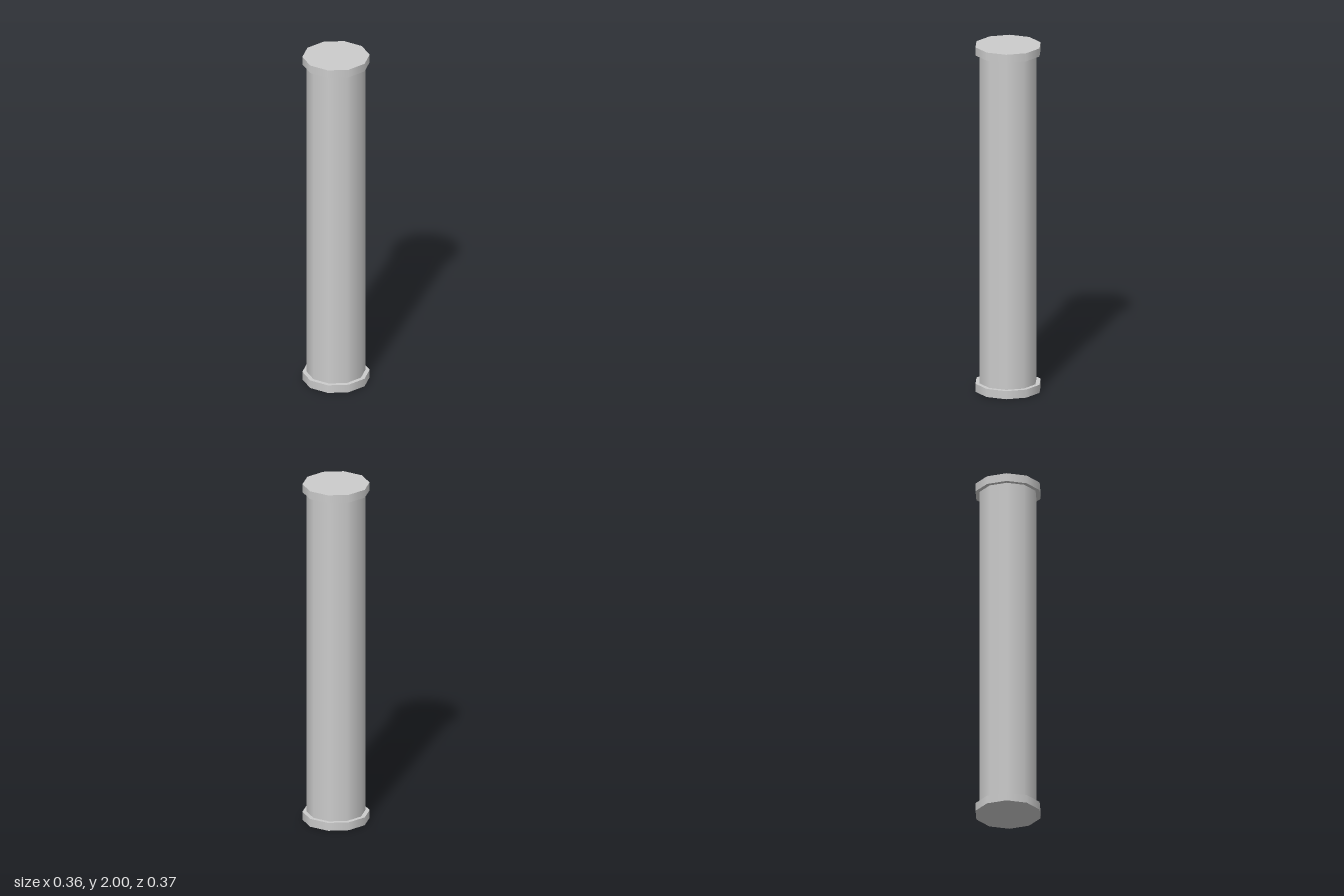
import * as THREE from 'three';

const SIDES = 10;
const HEIGHT = 2;
const CAP_HEIGHT = 0.047;
const CAP_RADIUS = 0.187;
const SHAFT_RADIUS = 0.163;

export function createModel() {
  const model = new THREE.Group();
  model.name = 'column';
  const material = new THREE.MeshStandardMaterial({ color: 0xcccccc });

  // Upright ten-sided drum standing on height y, smooth around its side
  function addDrum(name, radius, height, y, open = false) {
    const geometry = new THREE.CylinderGeometry(radius, radius, height, SIDES, 1, open);
    const mesh = new THREE.Mesh(geometry, material);
    mesh.name = name;
    mesh.position.y = y + height / 2;
    model.add(mesh);
  }

  // Wider discs at both ends, with the shaft running between them
  addDrum('base', CAP_RADIUS, CAP_HEIGHT, 0);
  addDrum('shaft', SHAFT_RADIUS, HEIGHT - 2 * CAP_HEIGHT, CAP_HEIGHT, true);
  addDrum('capital', CAP_RADIUS, CAP_HEIGHT, HEIGHT - CAP_HEIGHT);

  return model;
}
